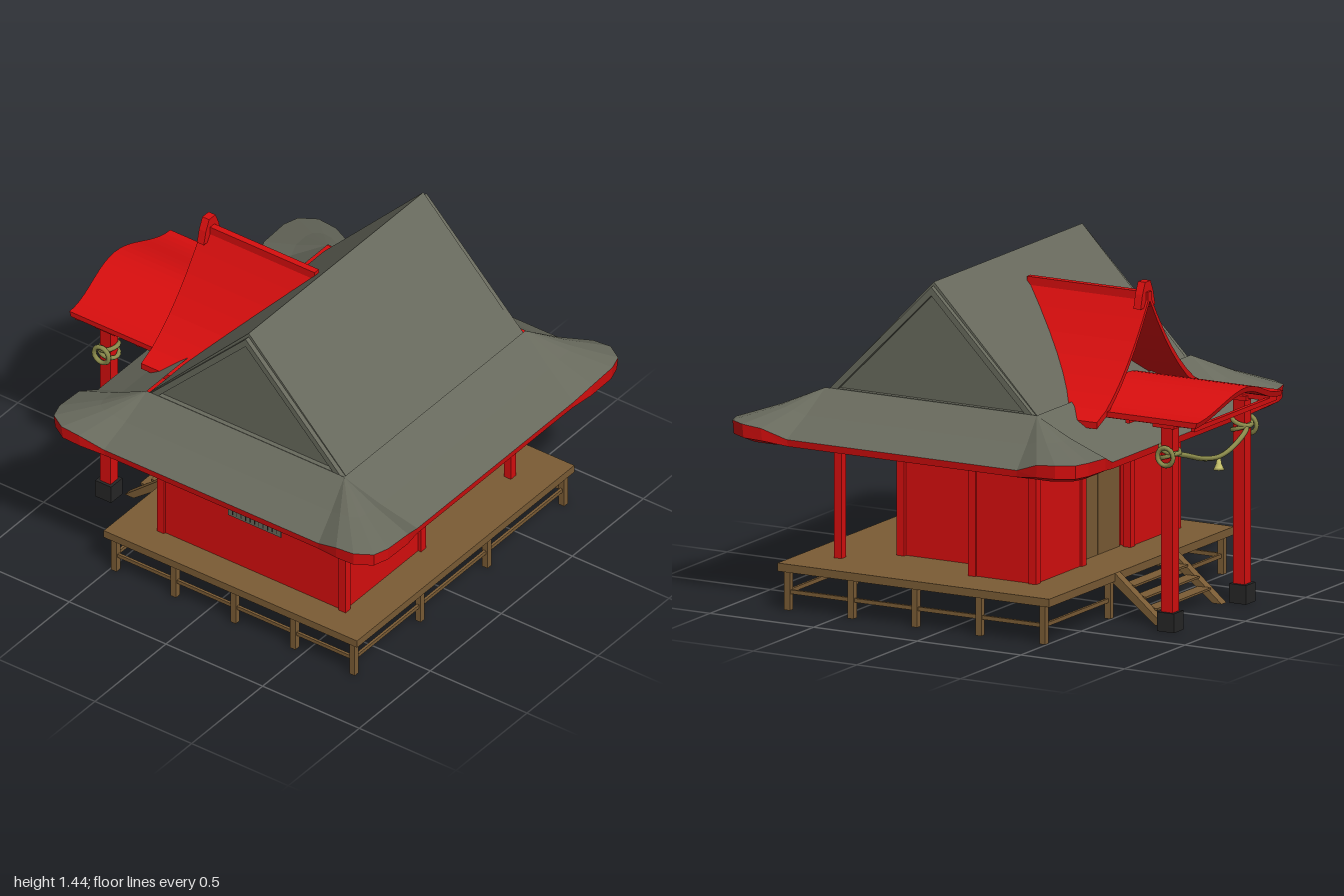
import * as THREE from 'three';

const mat = (name, color, side = THREE.FrontSide) => {
  const m = new THREE.MeshStandardMaterial({ color, side });
  m.name = name;
  return m;
};

export function createModel() {
  const root = new THREE.Group();
  root.name = 'shrine';
  const red = mat('red lacquer', 0xd80e0e, THREE.DoubleSide);
  const tile = mat('grey roof', 0x686a5d);
  const wood = mat('brown wood', 0x7b5c35);
  const black = mat('black stone', 0x262626);
  const straw = mat('straw rope', 0x8c8c4c);
  const brass = mat('brass bell', 0xc9c46c);

  const add = (name, geo, m, parent = root) => {
    const mesh = new THREE.Mesh(geo, m);
    mesh.name = name;
    parent.add(mesh);
    return mesh;
  };
  // Box given by its limits on each axis
  const box = (name, m, x0, x1, y0, y1, z0, z1, parent = root) => {
    const g = new THREE.BoxGeometry(x1 - x0, y1 - y0, z1 - z0);
    g.translate((x0 + x1) / 2, (y0 + y1) / 2, (z0 + z1) / 2);
    return add(name, g, m, parent);
  };
  const group = (name) => {
    const g = new THREE.Group();
    g.name = name;
    root.add(g);
    return g;
  };

  // Raised deck with legs and rails
  const deck = group('deck');
  box('deckFloor', wood, -0.52, 0.79, 0.165, 0.2, -0.8, 0.73, deck);
  const legX = [-0.48, -0.172, 0.137, 0.445, 0.752], legZ = [0.7, 0.235, -0.235, -0.775];
  legX.forEach((x, i) => legZ.forEach((z, j) => {
    const edge = i === 0 || i === 4 || j === 0 || j === 3;
    if (edge) box('deckLeg', wood, x - 0.014, x + 0.014, 0, 0.165, z - 0.014, z + 0.014, deck);
  }));
  for (const z of [0.7, -0.775]) box('deckRail', wood, -0.48, 0.752, 0.07, 0.087, z - 0.006, z + 0.006, deck);
  box('deckRail', wood, 0.746, 0.758, 0.07, 0.087, -0.775, 0.7, deck);
  box('deckRail', wood, -0.486, -0.474, 0.07, 0.087, 0.235, 0.7, deck);
  box('deckRail', wood, -0.486, -0.474, 0.07, 0.087, -0.775, -0.235, deck);

  // Steps
  const steps = group('steps');
  const stringer = new THREE.Shape([[-0.76, 0], [-0.715, 0], [-0.5, 0.165], [-0.5, 0.2], [-0.52, 0.2]]
    .map(([x, y]) => new THREE.Vector2(x, y)));
  for (const z of [-0.255, 0.215]) {
    const g = new THREE.ExtrudeGeometry(stringer, { depth: 0.04, bevelEnabled: false });
    add('stringer', g.translate(0, 0, z), wood, steps);
  }
  for (let i = 0; i < 3; i++) {
    const x = -0.675 + i * 0.055, y = 0.055 + i * 0.043;
    box('tread', wood, x - 0.03, x + 0.03, y, y + 0.009, -0.22, 0.22, steps);
  }

  // Walls, with an open corner porch at the back and a door recess
  const walls = group('walls');
  [[-0.33, 0.62, 0.2, 0.59], [-0.28, 0.62, 0.05, 0.2], [-0.28, 0.42, -0.41, 0.05],
    [-0.33, -0.03, -0.59, -0.41], [-0.33, -0.28, -0.41, -0.2]]
    .forEach(([x0, x1, z0, z1]) => box('wall', red, x0, x1, 0.2, 0.8, z0, z1, walls));
  [[-0.322, 0.582], [0.617, 0.582], [0.617, 0.05], [0.617, -0.582], [-0.03, -0.582], [-0.322, -0.582],
    [0.415, -0.41], [-0.322, 0.2], [-0.322, -0.2]]
    .forEach(([x, z]) => box('wallPost', red, x - 0.018, x + 0.018, 0.2, 0.8, z - 0.018, z + 0.018, walls));
  for (const s of [-1, 1]) box('door', wood, -0.288, -0.28, 0.2, 0.68, s < 0 ? -0.18 : 0.003, s < 0 ? -0.003 : 0.18);

  // Lattice window
  const win = group('window');
  box('windowPane', tile, 0.025, 0.297, 0.44, 0.66, 0.59, 0.596, win);
  for (let i = 1; i < 12; i++) {
    const x = 0.025 + i * 0.0227;
    box('latticeBar', black, x - 0.0015, x + 0.0015, 0.45, 0.65, 0.596, 0.598, win);
  }
  for (let i = 1; i < 6; i++) {
    const y = 0.44 + i * 0.0367;
    box('latticeBar', black, 0.032, 0.29, y - 0.0012, y + 0.0012, 0.596, 0.598, win);
  }

  // Roof skirt: rings that share one corner rule, mirrored to four corners
  const CX = 0.145;
  const eave = [[0.825, 0.755, 0.55], [0.85, 0.795, 0.65], [0.85, 0.803, 0.79], [0.828, 0.803, 0.86],
    [0.755, 0.803, 0.905], [0.665, 0.795, 0.905], [0.555, 0.755, 0.88]];
  const ring = (fn) => [[1, 1], [-1, 1], [-1, -1], [1, -1]].flatMap(([sx, sz]) => {
    const pts = eave.map((p) => fn(...p)).map(([x, y, z]) => [CX + sx * x, y, sz * z]);
    return sx * sz > 0 ? pts : pts.reverse();
  });
  const loft = (rings) => {
    const pos = [];
    for (let r = 0; r + 1 < rings.length; r++) {
      const a = rings[r], b = rings[r + 1], n = a.length;
      for (let i = 0; i < n; i++) {
        const j = (i + 1) % n;
        pos.push(...a[i], ...a[j], ...b[i], ...a[j], ...b[j], ...b[i]);
      }
    }
    const g = new THREE.BufferGeometry();
    g.setAttribute('position', new THREE.Float32BufferAttribute(pos, 3));
    g.computeVertexNormals();
    return g;
  };
  const top = [0.51, 0.935, 0.637];
  const mix = (t, sag) => (x, y, z) =>
    [x, y, z].map((v, k) => top[k] + (v - top[k]) * t - (k === 1 ? sag : 0));
  const eaveRing = ring((x, y, z) => [x, y, z]);
  add('roofSkirt', loft([ring(() => top), ring(mix(0.5, 0.008)), eaveRing]), tile);
  add('eaveUnderside', loft([
    eaveRing,
    ring((x, y, z) => [x - 0.004, 0.725 + (y - 0.755) * 0.4, z - 0.004]),
    ring((x, y, z) => [x * 0.95, 0.722, z * 0.95]),
    ring((x, y, z) => [x * 0.93, 0.745, z * 0.93]),
    ring(() => [0.44, 0.79, 0.55]),
  ]), red);

  // Main gable with raised barge boards at both ends
  const tri = (w, y0, y1) => [[-w, y0], [w, y0], [0, y1]].map(([x, y]) => new THREE.Vector2(CX + x, y));
  const prism = new THREE.ExtrudeGeometry(new THREE.Shape(tri(0.512, 0.915, 1.443)), { depth: 1.23, bevelEnabled: false });
  add('mainGable', prism.translate(0, 0, -0.615), tile);
  const board = new THREE.Shape(tri(0.508, 0.915, 1.425));
  board.holes.push(new THREE.Path(tri(0.45, 0.937, 1.388).reverse()));
  for (const z of [-0.637, 0.615]) {
    const g = new THREE.ExtrudeGeometry(board, { depth: 0.022, bevelEnabled: false });
    add('bargeBoard', g.translate(0, 0, z), tile);
  }

  // Curved slab running along x, from a half profile of [z, y]
  const slab = (half, thick, x0, x1) => {
    const up = [...half.slice(1).reverse().map(([z, y]) => [-z, y]), ...half];
    const pts = [...up, ...up.slice().reverse().map(([z, y]) => [z, y - thick])];
    const g = new THREE.ExtrudeGeometry(new THREE.Shape(pts.map((p) => new THREE.Vector2(...p))),
      { depth: x1 - x0, bevelEnabled: false });
    return g.rotateY(Math.PI / 2).translate(x0, 0, 0);
  };

  // Red dormer over the entrance
  const dormer = group('dormer');
  add('dormerRoof', slab([[0, 1.345], [0.06, 1.25], [0.12, 1.165], [0.18, 1.09], [0.24, 1.025], [0.3, 0.97],
    [0.365, 0.92], [0.44, 0.885]], 0.028, -0.54, 0.04), red, dormer);
  box('dormerRidge', red, -0.54, 0.045, 1.32, 1.357, -0.015, 0.015, dormer);
  const crest = new THREE.Shape([[-0.06, 1.29], [0.06, 1.29], [0.045, 1.35], [0.022, 1.4], [-0.022, 1.4], [-0.045, 1.35]]
    .map((p) => new THREE.Vector2(...p)));
  const crestGeo = new THREE.ExtrudeGeometry(crest, { depth: 0.035, bevelEnabled: false });
  add('ridgeOrnament', crestGeo.rotateY(Math.PI / 2).translate(-0.53, 0, 0), red, dormer);

  // Arched entrance canopy, its front edge leaning out towards the crown
  const canopy = group('canopy');
  const arch = [];
  for (let i = 0; i <= 10; i++) {
    const z = i * 0.0355;
    arch.push([z, 0.915 + 0.0425 * (1 + Math.cos(Math.PI * z / 0.355))]);
  }
  const roofGeo = slab(arch, 0.024, -0.965, -0.43);
  const p = roofGeo.attributes.position;
  for (let i = 0; i < p.count; i++) {
    if (p.getX(i) < -0.9) p.setX(i, -0.965 - 0.035 * (p.getY(i) - 0.891) / 0.109);
  }
  roofGeo.computeVertexNormals();
  add('canopyRoof', roofGeo, red, canopy);
  for (const x of [-0.945, -0.76, -0.63]) box('canopyBatten', red, x - 0.009, x + 0.009, 0.873, 0.893, -0.34, 0.34, canopy);
  for (const z of [-0.298, 0.298]) {
    box('canopyBeam', red, -0.955, -0.45, 0.88, 0.91, z - 0.02, z + 0.02, canopy);
    box('canopyPost', red, -0.838, -0.783, 0.08, 0.89, z - 0.027, z + 0.027, canopy);
    box('postCap', red, -0.852, -0.768, 0.872, 0.892, z - 0.04, z + 0.04, canopy);
    box('postBase', black, -0.852, -0.77, 0, 0.082, z - 0.04, z + 0.04, canopy);
  }

  // Rope swag, tied round each post, with a bell in the middle
  const rope = group('rope');
  const swag = new THREE.CatmullRomCurve3([[-0.82, 0.77, -0.335], [-0.855, 0.745, -0.25], [-0.868, 0.705, -0.12],
    [-0.872, 0.69, 0], [-0.868, 0.705, 0.12], [-0.855, 0.745, 0.25], [-0.82, 0.77, 0.335]]
    .map((v) => new THREE.Vector3(...v)));
  add('ropeSwag', new THREE.TubeGeometry(swag, 32, 0.011, 6), straw, rope);
  for (const s of [-1, 1]) {
    for (const [y, tilt] of [[0.775, 0.35], [0.75, -0.3]]) {
      const wrap = add('ropeWrap', new THREE.TorusGeometry(0.043, 0.01, 6, 16), straw, rope);
      wrap.rotation.set(Math.PI / 2, tilt, 0);
      wrap.position.set(-0.81, y, s * 0.298);
    }
    const knot = add('ropeKnot', new THREE.TorusGeometry(0.038, 0.011, 6, 16), straw, rope);
    knot.position.set(-0.815, 0.752, s * 0.345);
  }
  const bell = new THREE.LatheGeometry([[0, 0.05], [0.008, 0.048], [0.012, 0.025], [0.018, 0.01], [0.025, 0], [0, 0]]
    .reverse().map((v) => new THREE.Vector2(...v)), 12);
  add('bell', bell.translate(-0.872, 0.635, 0), brass, rope);

  return root;
}
